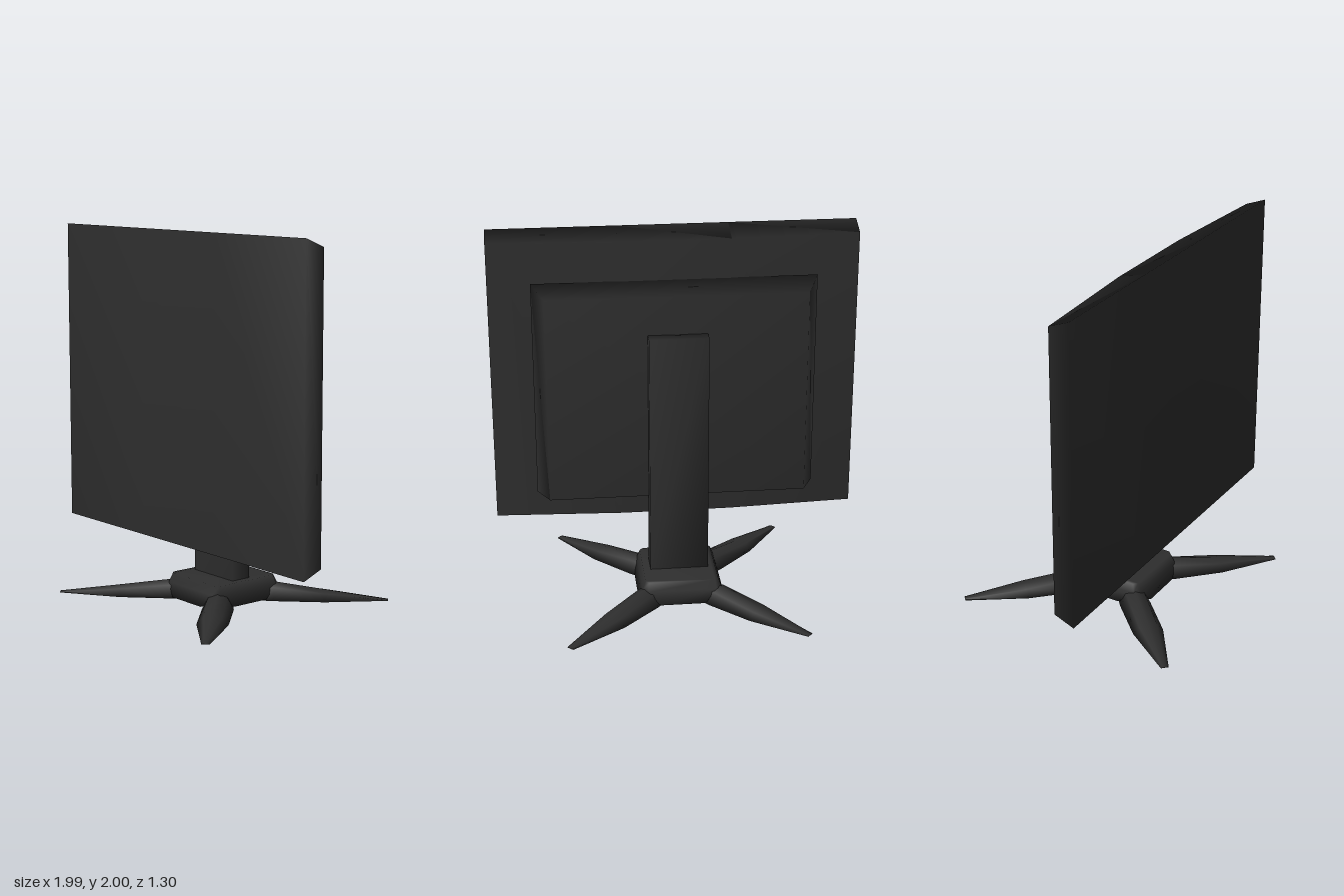
import * as THREE from 'three';

// Skin a closed solid through convex rings, each counter-clockwise about the direction of travel.
function loft(rings) {
  const n = rings[0].length, index = [], last = (rings.length - 1) * n;
  for (let i = 0; i < rings.length - 1; i++) {
    for (let j = 0; j < n; j++) {
      const a = i * n + j, b = i * n + (j + 1) % n;
      index.push(a, b, b + n, a, b + n, a + n);
    }
  }
  for (let j = 1; j < n - 1; j++) {
    index.push(0, j + 1, j, last, last + j, last + j + 1);
  }
  const geometry = new THREE.BufferGeometry();
  geometry.setAttribute('position', new THREE.Float32BufferAttribute(rings.flat(2), 3));
  geometry.setIndex(index);
  geometry.computeVertexNormals();
  return geometry;
}

export function createModel() {
  const model = new THREE.Group();
  model.name = 'monitor';
  const plastic = new THREE.MeshStandardMaterial({ color: 0x2e2e2e });
  plastic.name = 'dark grey plastic';

  const add = (name, geometry) => {
    const mesh = new THREE.Mesh(geometry, plastic);
    mesh.name = name;
    model.add(mesh);
    return mesh;
  };

  // Screen: flat front, bevelled top and bottom, back bulging towards the middle
  const screenSections = [[-0.993, 0.197], [-0.3, 0.157], [0.3, 0.157], [0.993, 0.197]];
  add('screen', loft(screenSections.map(([x, back]) => [
    [x, 0.38, back], [x, 1.955, back], [x, 2, 0.31], [x, 0.335, 0.31], [x, 0.38, 0.203],
  ])));

  // Raised rear housing with sloping sides
  const rectangle = (x, y0, y1, z) => [[-x, y0, z], [x, y0, z], [x, y1, z], [-x, y1, z]];
  add('rearHousing', loft([
    rectangle(0.7, 0.545, 1.69, 0.02),
    rectangle(0.765, 0.535, 1.74, 0.16),
  ]));

  // Upright column
  const columnRing = (y) => [[-0.16, y, -0.052], [-0.16, y, 0.065], [0.16, y, 0.065], [0.16, y, -0.052]];
  add('column', loft([columnRing(0.1), columnRing(1.48)]));

  // Hub: a block whose corners are cut away towards the bottom
  const hubRing = (y, x, z, cx, cz) => [
    [-x + cx, y, -z], [-x, y, -z + cz], [-x, y, z - cz], [-x + cx, y, z],
    [x - cx, y, z], [x, y, z - cz], [x, y, -z + cz], [x - cx, y, -z],
  ];
  add('standHub', loft([
    hubRing(0.01, 0.237, 0.255, 0.115, 0.145),
    hubRing(0.08, 0.217, 0.228, 0.03, 0.03),
    hubRing(0.126, 0.2, 0.205, 0.02, 0.02),
  ]));

  // Four tapering legs: [distance from centre, half width, height]
  const legSections = [[0.03, 0.06, 0.06], [0.28, 0.085, 0.088], [0.56, 0.083, 0.05], [0.9, 0.021, 0.004]];
  const legGeometry = loft(legSections.map(([d, w, h]) => [
    [-w, 0, d], [w, 0, d], [w * 0.6, h * 0.75, d], [0, h, d], [-w * 0.6, h * 0.75, d],
  ]));
  ['frontLeftLeg', 'backLeftLeg', 'backRightLeg', 'frontRightLeg'].forEach((name, i) => {
    add(name, legGeometry).rotation.y = Math.PI / 4 + i * Math.PI / 2;
  });

  return model;
}
